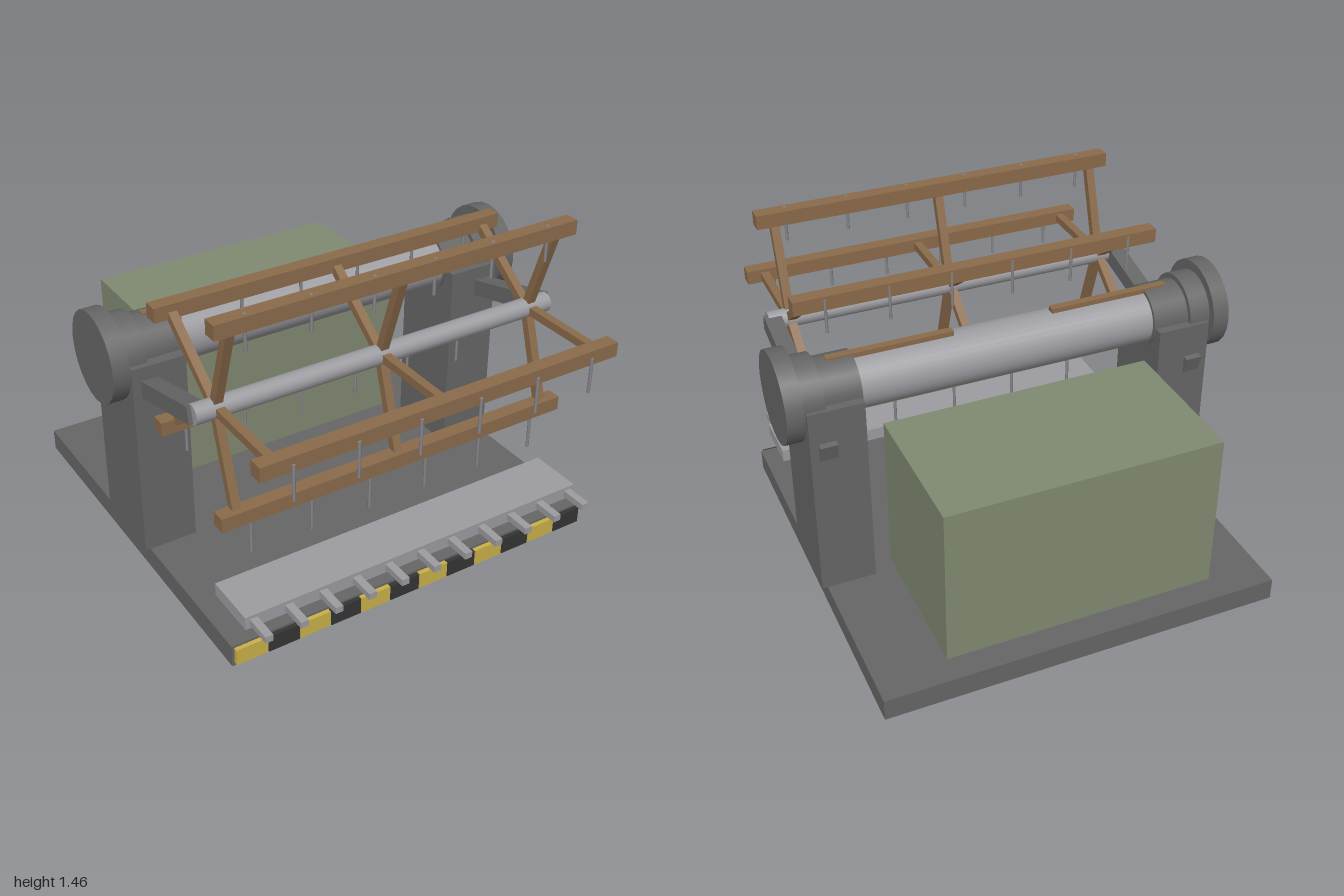
import * as THREE from 'three';

const mat = (name, color) => new THREE.MeshStandardMaterial({ name, color });

export function createModel() {
  const root = new THREE.Group();
  root.name = 'harvesterHeader';
  const dark = mat('darkGrey', 0x666666);
  const silver = mat('silver', 0x9c9ca1);
  const steel = mat('steel', 0x85858a);
  const green = mat('oliveGreen', 0x808a72);
  const wood = mat('woodBrown', 0x8b6b4b);
  const yellow = mat('hazardYellow', 0xc9b04a);
  const black = mat('hazardBlack', 0x353535);

  function box(name, material, w, h, d, x, y, z, parent = root) {
    const m = new THREE.Mesh(new THREE.BoxGeometry(w, h, d), material);
    m.name = name;
    m.position.set(x, y, z);
    parent.add(m);
    return m;
  }
  // Cylinder lying along x
  function rod(name, material, r, length, x, y, z, sides = 24) {
    const g = new THREE.CylinderGeometry(r, r, length, sides).rotateZ(Math.PI / 2);
    const m = new THREE.Mesh(g, material);
    m.name = name;
    m.position.set(x, y, z);
    root.add(m);
    return m;
  }

  // Base deck and rear housing
  box('baseDeck', dark, 1.78, 0.1, 1.8, 0, 0.05, -0.09);
  box('rearHousing', green, 1.2, 0.72, 0.66, 0, 0.52, -0.6);

  // Hazard stripe blocks along the front edge
  for (let i = 0; i < 12; i++) {
    box('hazardBlock', i % 2 ? black : yellow, 0.143, 0.075, 0.03, -0.807 + i * 0.1467, 0.053, 0.815);
  }

  // Drum
  rod('drum', silver, 0.12, 1.36, 0, 1, -0.095, 32);

  // Towers, collars, end discs, reel arms and drum bars, mirrored
  for (const s of [-1, 1]) {
    box('tower', dark, 0.242, 0.9, 0.36, s * 0.792, 0.55, -0.09);
    rod('innerCollar', dark, 0.135, 0.17, s * 0.75, 1, -0.095);
    rod('outerCollar', dark, 0.158, 0.1, s * 0.88, 1, -0.095);
    rod('endDisc', dark, 0.2, 0.075, s * 0.9625, 1, -0.09);
    const arm = box('reelArm', dark, 0.075, 0.075, 0.81, s * 0.838, 0.905, 0.108);
    arm.rotation.x = -0.24;
    box('drumBar', wood, 0.55, 0.04, 0.035, s * 0.5, 1.12, -0.097);
  }

  // Reel: shaft, five bats with spokes and hanging tines
  const cy = 1, cz = 0.5, reach = 0.445;
  rod('reelShaft', silver, 0.044, 1.715, 0, cy, cz, 16);
  for (let i = 0; i < 5; i++) {
    const a = (i * Math.PI * 2) / 5;
    const c = Math.cos(a), s = Math.sin(a);
    box('reelBat', wood, 1.675, 0.064, 0.064, 0, cy + s * reach, cz + c * reach);
    for (const x of [-0.757, 0, 0.757]) {
      const spoke = box('reelSpoke', wood, 0.038, 0.036, reach, x, cy + s * reach / 2, cz + c * reach / 2);
      spoke.rotation.x = -a;
    }
    for (let k = 0; k < 6; k++) {
      const tine = new THREE.Mesh(new THREE.CylinderGeometry(0.007, 0.007, 0.16, 8), steel);
      tine.name = 'reelTine';
      tine.position.set(-0.7 + k * 0.28, cy + s * 0.48 - 0.08, cz + c * 0.48);
      root.add(tine);
    }
  }

  // Cutter bar with guard fingers
  box('cutterBar', silver, 1.67, 0.06, 0.245, 0, 0.205, 0.705);
  for (let i = 0; i < 11; i++) {
    box('guardFinger', silver, 0.035, 0.03, 0.135, -0.797 + i * 0.1594, 0.205, 0.882);
  }
  return root;
}
